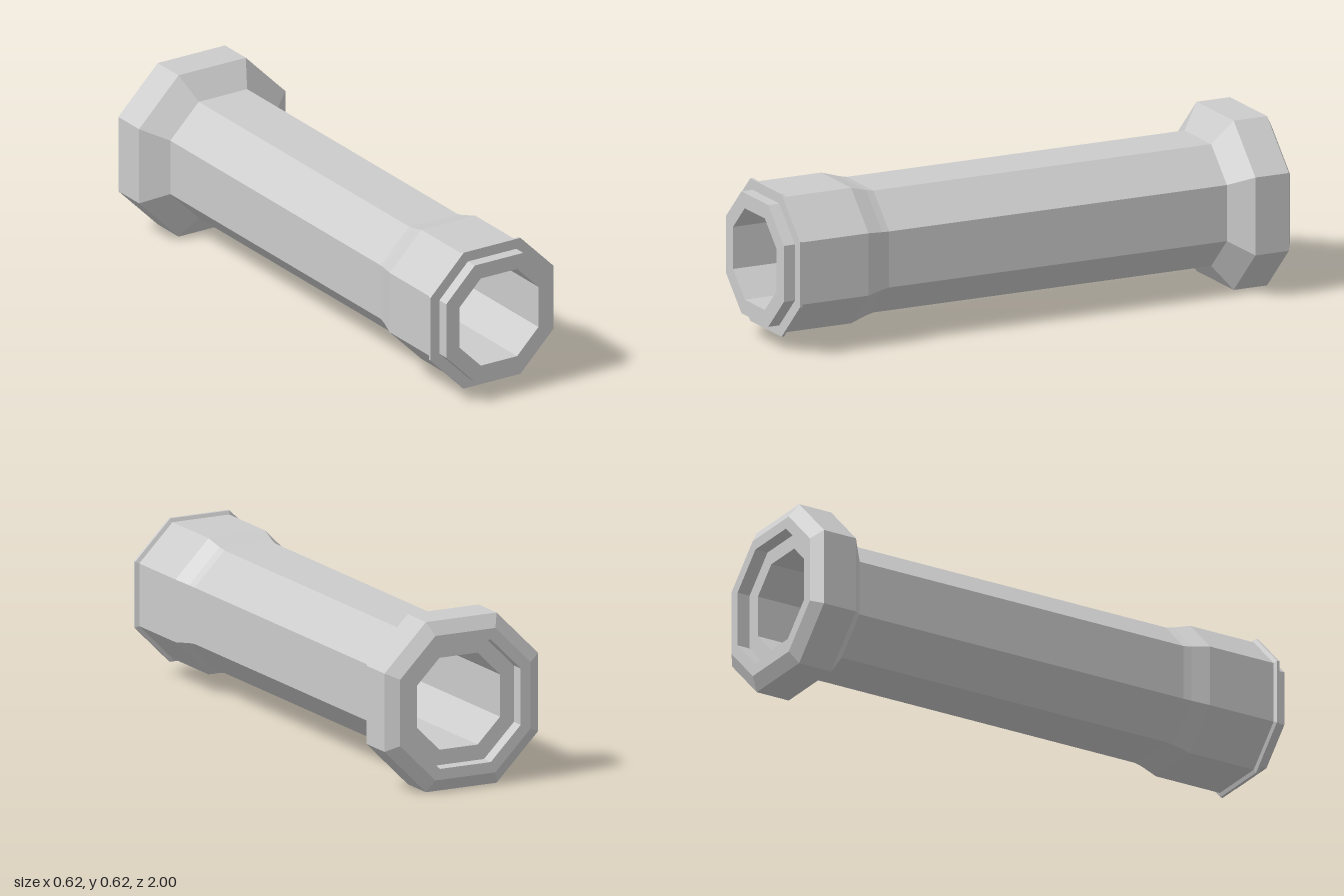
import * as THREE from 'three';

const AXIS_Y = 0.311; // height of the pipe axis
const FLAT = 0.46; // half length of a straight side, relative to the apothem

// Octagon corners, counter-clockwise seen from +z
function octagon(a) {
  const f = a * FLAT;
  return [[a, -f], [a, f], [f, a], [-f, a], [-a, f], [-a, -f], [-f, -a], [f, -a]];
}

// Sweep a profile of [apothem, z] pairs around the octagon
function octagonalShell(profile) {
  const positions = [];
  for (let p = 0; p < profile.length - 1; p++) {
    const [a0, z0] = profile[p];
    const [a1, z1] = profile[p + 1];
    const r0 = octagon(a0);
    const r1 = octagon(a1);
    for (let i = 0; i < 8; i++) {
      const j = (i + 1) % 8;
      const A = [...r0[i], z0], B = [...r0[j], z0];
      const C = [...r1[j], z1], D = [...r1[i], z1];
      positions.push(...A, ...B, ...C, ...A, ...C, ...D);
    }
  }
  const geometry = new THREE.BufferGeometry();
  geometry.setAttribute('position', new THREE.Float32BufferAttribute(positions, 3));
  geometry.computeVertexNormals();
  return geometry;
}

export function createModel() {
  const group = new THREE.Group();
  group.name = 'octagonalPipe';
  const material = new THREE.MeshStandardMaterial({
    color: 0xcccccc, flatShading: true, side: THREE.DoubleSide,
  });

  const parts = {
    // Hollow tube, its front end forming the plug
    barrel: [[0.224, -0.95], [0.224, 1], [0.168, 1], [0.168, -0.95], [0.224, -0.95]],
    // Wide back head with chamfered rim and recessed socket
    socketHead: [[0.224, -0.95], [0.224, -1], [0.264, -1], [0.311, -0.97],
      [0.311, -0.837], [0.224, -0.768]],
    // Flared front collar ending in a thin flange
    collar: [[0.224, 0.58], [0.23, 0.61], [0.249, 0.675], [0.249, 0.94],
      [0.262, 0.946], [0.262, 0.956], [0.224, 0.956]],
  };

  for (const [name, profile] of Object.entries(parts)) {
    const mesh = new THREE.Mesh(octagonalShell(profile), material);
    mesh.name = name;
    mesh.position.y = AXIS_Y;
    group.add(mesh);
  }
  return group;
}
